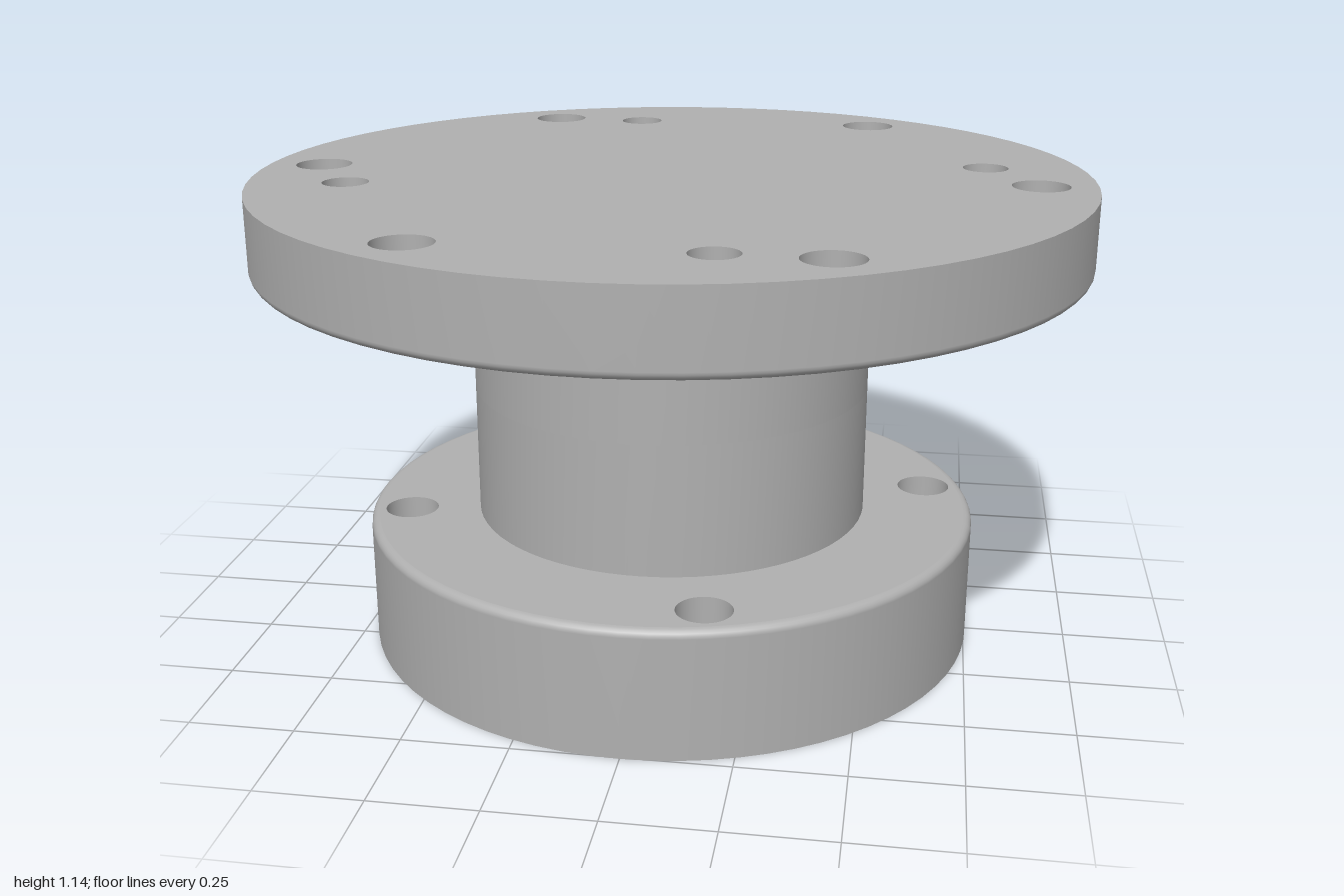
import * as THREE from 'three';

const N = 72;
const TAU = Math.PI * 2;
const rad = THREE.MathUtils.degToRad;

const metal = new THREE.MeshStandardMaterial({ color: 0xb0b0b0 });
metal.name = 'grey metal';

function add(parent, name, geometry) {
  const mesh = new THREE.Mesh(geometry, metal);
  mesh.name = name;
  parent.add(mesh);
  return mesh;
}

// Surface stretched between two curves sampled at the same parameters
function ruled(ts, curveA, curveB) {
  const pos = [], index = [];
  ts.forEach((t, i) => {
    pos.push(...curveA(t), ...curveB(t));
    if (i) {
      const k = 2 * i;
      index.push(k - 2, k, k + 1, k - 2, k + 1, k - 1);
    }
  });
  const g = new THREE.BufferGeometry();
  g.setAttribute('position', new THREE.Float32BufferAttribute(pos, 3));
  g.setIndex(index);
  g.computeVertexNormals();
  return g;
}

const range = (a, b, n) => Array.from({ length: n + 1 }, (_, i) => a + (b - a) * i / n);
const ring = (r, y) => (t) => [r * Math.cos(t), y(t), -r * Math.sin(t)];

// Flat disc with round holes, facing up or down
function plate(y, radius, holes, up) {
  const shape = new THREE.Shape().absarc(0, 0, radius, 0, TAU);
  const s = up ? -1 : 1;
  for (const h of holes) {
    shape.holes.push(new THREE.Path().absarc(h.x, s * h.z, h.r, 0, TAU));
  }
  return new THREE.ShapeGeometry(shape, N / 2).rotateX(s * Math.PI / 2).translate(0, y, 0);
}

// Inward-facing wall of a round hole
function holeWall(h, y0, y1) {
  return ruled(range(0, TAU, N), ring(h.r, () => y1), ring(h.r, () => y0)).translate(h.x, 0, h.z);
}

// Evenly spaced bolt holes
function boltCircle(count, startDeg, dist, r) {
  return Array.from({ length: count }, (_, i) => {
    const a = rad(startDeg + i * 360 / count);
    return { x: dist * Math.cos(a), z: -dist * Math.sin(a), r };
  });
}

// Outer rim with one rounded edge
function rim(radius, y0, y1, fillet, roundTop) {
  const pts = range(0, Math.PI / 2, 5).map((a) => new THREE.Vector2(
    radius - fillet + fillet * Math.cos(a),
    roundTop ? y1 - fillet + fillet * Math.sin(a) : y0 + fillet - fillet * Math.sin(a)));
  pts.unshift(new THREE.Vector2(radius, roundTop ? y0 : y1));
  if (!roundTop) pts.reverse();
  return new THREE.LatheGeometry(pts, N);
}

export function createModel() {
  const model = new THREE.Group();
  model.name = 'flangedAdapter';

  const baseTop = 0.315, flangeY = 0.955, top = 1.145, floorY = 0.195;
  const R = 0.485, r = 0.258, axisY = 0.635, boreTop = 0.9;
  const neckHole = { x: 0, z: 0, r: R };
  const recess = { x: 0, z: 0, r: 0.56 };

  // Top flange
  const flange = new THREE.Group();
  flange.name = 'topFlange';
  model.add(flange);
  const flangeHoles = [...boltCircle(6, 0, 0.867, 0.068), ...boltCircle(4, 15, 0.77, 0.055)];
  add(flange, 'flangeRim', rim(1, flangeY, top, 0.02, false));
  add(flange, 'flangeTop', plate(top, 1, flangeHoles, true));
  add(flange, 'flangeUnderside', plate(flangeY, 0.98, [neckHole, ...flangeHoles], false));
  flangeHoles.forEach((h) => add(flange, 'flangeBoltHole', holeWall(h, flangeY, top)));

  // Base with recessed underside
  const base = new THREE.Group();
  base.name = 'base';
  model.add(base);
  const baseHoles = boltCircle(4, 15, 0.655, 0.065);
  add(base, 'baseRim', rim(0.755, 0, baseTop, 0.02, true));
  add(base, 'baseTop', plate(baseTop, 0.735, [neckHole, ...baseHoles], true));
  add(base, 'baseUnderside', plate(0, 0.755, [recess, ...baseHoles], false));
  add(base, 'recessWall', holeWall(recess, 0, floorY));
  add(base, 'recessFloor', plate(floorY, recess.r, [{ x: 0, z: 0, r }], false));
  baseHoles.forEach((h) => add(base, 'baseBoltHole', holeWall(h, 0, baseTop)));

  // Neck with a side port joining the vertical bore; the port runs along local +x
  const neck = new THREE.Group();
  neck.name = 'neck';
  neck.rotation.y = rad(150);
  model.add(neck);

  const gap = (radius) => (t) => {
    const s = radius * Math.sin(t);
    return Math.cos(t) > 0 ? Math.sqrt(Math.max(0, r * r - s * s)) : 0;
  };
  const edge = Math.asin(r / R);
  const neckAngles = [
    ...range(-Math.PI / 2, Math.PI / 2, 48).map((u) => Math.asin(r / R * Math.sin(u))),
    ...range(edge, TAU - edge, 60).slice(1),
  ];
  const g = gap(R);
  add(neck, 'neckLower', ruled(neckAngles, ring(R, () => baseTop), ring(R, (t) => axisY - g(t))));
  add(neck, 'neckUpper', ruled(neckAngles, ring(R, (t) => axisY + g(t)), ring(R, () => flangeY)));

  // Vertical bore
  const b = gap(r);
  const boreAngles = range(-Math.PI / 2, Math.PI * 1.5, N);
  add(neck, 'boreLower', ruled(boreAngles, ring(r, (t) => axisY - b(t)), ring(r, () => floorY)));
  add(neck, 'boreUpper', ruled(boreAngles, ring(r, () => boreTop), ring(r, (t) => axisY + b(t))));
  add(neck, 'boreEnd', plate(boreTop, r, [], false));

  // Side port wall
  const port = (depth) => (t) => [depth(t), axisY + r * Math.sin(t), -r * Math.cos(t)];
  add(neck, 'sidePort', ruled(range(0, TAU, N),
    port((t) => Math.sqrt(R * R - (r * Math.cos(t)) ** 2)),
    port((t) => r * Math.abs(Math.sin(t)))));

  return model;
}
